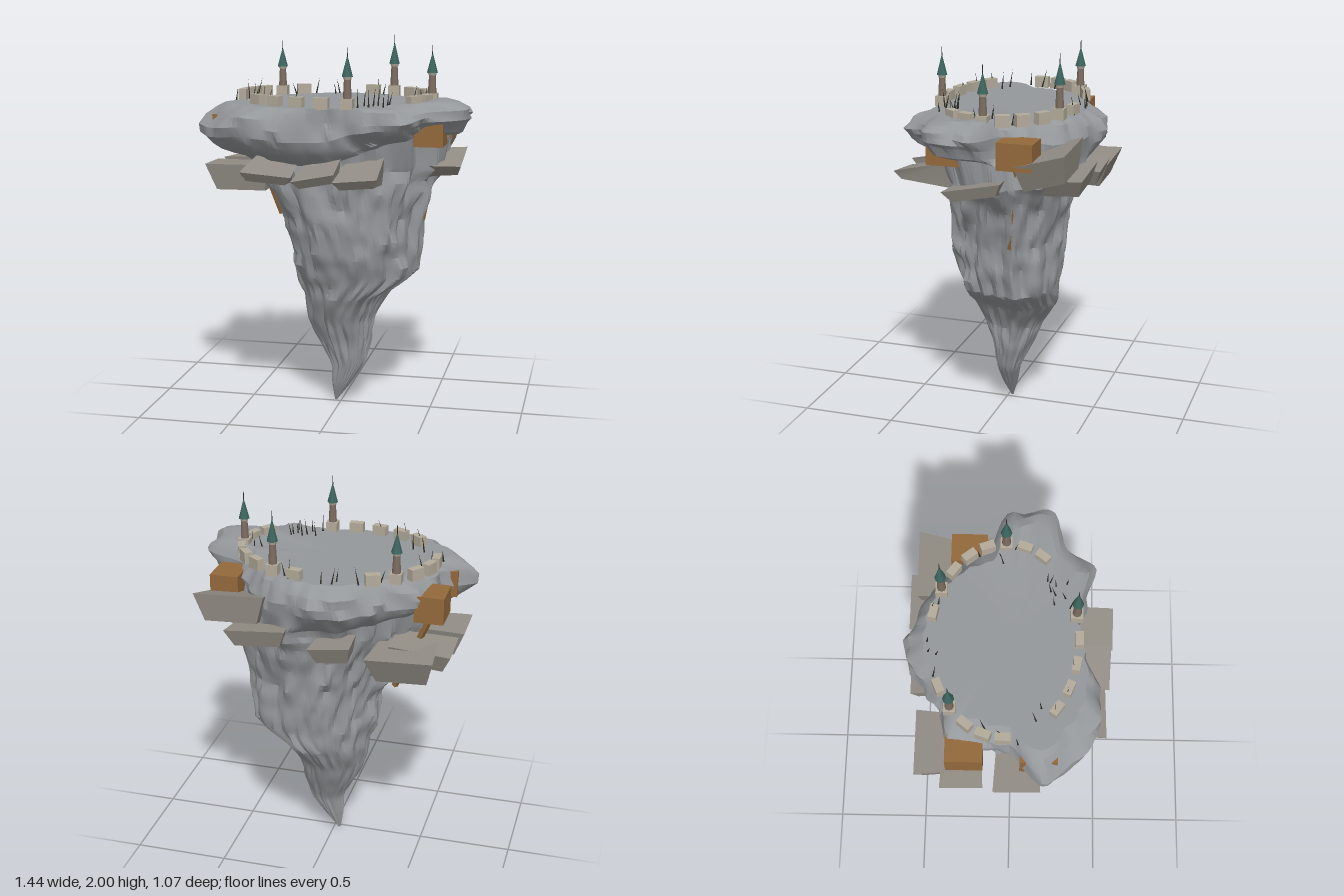
import * as THREE from 'three';
import { toCreasedNormals } from 'three/addons/utils/BufferGeometryUtils.js';

const mat = (color) => new THREE.MeshStandardMaterial({ color, roughness: 0.9 });
const { lerp, clamp } = THREE.MathUtils;

// Seeded lattice noise in -1..1, periodic along u
const hash = (i, j) => {
  const s = Math.sin(i * 127.1 + j * 311.7) * 43758.5453;
  return (s - Math.floor(s)) * 2 - 1;
};
function noise(u, v, period) {
  const i = Math.floor(u), j = Math.floor(v), f = u - i, g = v - j;
  const a = ((i % period) + period) % period, b = (a + 1) % period;
  return lerp(lerp(hash(a, j), hash(b, j), f), lerp(hash(a, j + 1), hash(b, j + 1), f), g);
}

// Plateau outline: radius every 15 degrees from +x towards +z
const OUTLINE = [0.69, 0.74, 0.56, 0.59, 0.44, 0.36, 0.36, 0.41, 0.53, 0.64, 0.69, 0.74,
  0.58, 0.57, 0.61, 0.5, 0.5, 0.53, 0.53, 0.49, 0.48, 0.49, 0.48, 0.49];
// Hanging trunk: y, centre x, centre z, radius x, radius z
const TRUNK = [[1.36, 0.04, -0.05, 0.52, 0.35], [1.2, 0.045, -0.035, 0.425, 0.325], [1.0, 0.07, -0.025, 0.37, 0.305],
  [0.85, 0.085, -0.04, 0.345, 0.28], [0.73, 0.085, -0.055, 0.325, 0.255], [0.62, 0.035, -0.055, 0.22, 0.235],
  [0.48, 0, -0.045, 0.17, 0.155], [0.36, 0.02, -0.045, 0.145, 0.11], [0.22, 0.04, -0.025, 0.09, 0.065],
  [0.1, 0, -0.02, 0.05, 0.04], [0, -0.03, -0.02, 0.006, 0.006]];
// Cap: y, blend from trunk to outline, scale
const CAP = [[1.67, 1, 0], [1.67, 1, 0.45], [1.67, 1, 0.83], [1.645, 1, 0.9], [1.605, 1, 0.96], [1.555, 1, 1],
  [1.505, 1, 0.99], [1.465, 0.92, 0.97], [1.43, 0.72, 0.97], [1.4, 0.4, 1], [1.38, 0.15, 1]];

function outlineRadius(a) {
  const t = a / (Math.PI * 2) * 24, i = Math.floor(t), f = t - i;
  return lerp(OUTLINE[i % 24], OUTLINE[(i + 1) % 24], f * f * (3 - 2 * f));
}

function trunkPoint(a, y) {
  let k = 0;
  while (k < TRUNK.length - 2 && y < TRUNK[k + 1][0]) k++;
  const p = TRUNK[k], q = TRUNK[k + 1];
  const f = clamp((p[0] - y) / (p[0] - q[0]), 0, 1);
  const [cx, cz, rx, rz] = [1, 2, 3, 4].map((n) => lerp(p[n], q[n], f));
  const u = a / (Math.PI * 2);
  // diagonal stretch, vertical flutes drifting with height, and broken ledges
  const r = 0.98 - 0.07 * Math.sin(2 * a) + 0.06 * noise(u * 14 + y * 0.8, y * 2.2, 14)
    + 0.08 * noise(u * 40 + y * 2, y * 5, 40) + 0.06 * noise(u * 72 + y * 3, y * 9, 72) + 0.05 * noise(u * 24, y * 15, 24);
  return [cx + rx * r * Math.cos(a), cz + rz * r * Math.sin(a)];
}

function rockGeometry() {
  const N = 144, rows = CAP.map((r) => [...r]);
  for (let i = 0; i <= 46; i++) rows.push([1.36 * (1 - i / 46), 0, 1]);
  const pos = [], index = [];
  rows.forEach(([y, mix, scale], i) => {
    for (let j = 0; j < N; j++) {
      const u = j / N, a = u * Math.PI * 2, R = outlineRadius(a);
      const [tx, tz] = trunkPoint(a, y);
      const rough = i > 1 && mix ? 0.035 * noise(u * 26, y * 11, 26) + 0.035 * noise(u * 60, y * 18, 60) : 0;
      // the rim is steep where the outline runs close in, sloped on the wide lobes
      const inset = i > 1 && i < 5 ? lerp(0.98, scale, clamp((R - 0.33) / 0.2, 0, 1)) : scale;
      const r = R * (inset + rough);
      // the overhang is thinner along the pointed side and at the back left
      const thick = 1 - 0.5 * Math.max(0, Math.cos(a - 0.4)) ** 2 - 0.25 * Math.max(0, Math.cos(a - 3.5)) ** 4;
      const lift = i > 1 && i < 8 ? 0.035 * Math.max(0, Math.cos(a - 0.15)) ** 10 : 0;
      const sag = i > 3 && mix ? 0.03 * noise(u * 16, 3.5, 16) : 0;
      const py = mix ? 1.67 - (1.67 - y) * thick + lift + sag : y;
      pos.push(lerp(tx, r * Math.cos(a), mix), py, lerp(tz, r * Math.sin(a), mix));
      if (i < rows.length - 1) {
        const p = i * N + j, q = i * N + (j + 1) % N;
        index.push(p, q, p + N, q, q + N, p + N);
      }
    }
  });
  const g = new THREE.BufferGeometry();
  g.setAttribute('position', new THREE.Float32BufferAttribute(pos, 3));
  g.setIndex(index);
  return toCreasedNormals(g, 0.4);
}

// Tapered slab: outer top edge at the origin, reaching back along -z; lip is the outer height
function slabGeometry(w, d, h, lip) {
  const g = new THREE.BoxGeometry(1, 1, 1), p = g.attributes.position;
  for (let i = 0; i < p.count; i++) {
    const top = p.getY(i) > 0, out = p.getZ(i) > 0;
    const half = w * (top ? (out ? 0.5 : 0.42) : (out ? 0.37 : 0.3));
    p.setXYZ(i, Math.sign(p.getX(i)) * half, top ? 0 : (out ? -lip : -h), out ? (top ? 0 : -0.4 * lip) : -d);
  }
  g.computeVertexNormals();
  return g;
}

export function createModel() {
  const model = new THREE.Group();
  const rockMat = mat(0x95989b), slabMat = mat(0x928d85), wallMat = mat(0xb3ab9b), woodMat = mat(0x94693c);
  const towerMat = mat(0x7d6e62), roofMat = mat(0x3d655f), twigMat = mat(0x2e2f26);
  const add = (parent, name, geo, material, x = 0, y = 0, z = 0) => {
    const m = new THREE.Mesh(geo, material);
    m.name = name;
    m.position.set(x, y, z);
    parent.add(m);
    return m;
  };

  add(model, 'floatingRock', rockGeometry(), rockMat);

  // Slabs: x, y, z of the outer top edge, width, depth, inner and outer height, facing, pitch, roll
  const F = 0, B = Math.PI, L = -Math.PI / 2, R = Math.PI / 2;
  [
    [-0.29, 1.34, 0.49, 0.27, 0.32, 0.13, 0.05, F, 0.18, -0.08],
    [-0.04, 1.335, 0.515, 0.23, 0.32, 0.13, 0.05, F, 0.2, 0.2],
    [0.18, 1.33, 0.53, 0.23, 0.32, 0.15, 0.05, F, 0.22, 0.1],
    [-0.71, 1.33, 0.04, 0.24, 0.32, 0.14, 0.14, L, 0, 0.03],
    [-0.69, 1.32, -0.24, 0.22, 0.32, 0.1, 0.1, L, 0.05, 0.08],
    [-0.45, 1.32, -0.48, 0.35, 0.3, 0.14, 0.14, B, 0, 0.05],
    [-0.1, 1.36, -0.51, 0.22, 0.3, 0.09, 0.09, B, 0, 0.12],
    [0.28, 1.42, -0.525, 0.32, 0.3, 0.09, 0.09, B, -0.1, 0.08],
    [0.425, 1.58, -0.48, 0.37, 0.28, 0.14, 0.14, B, -0.3, 0.04],
    [0.66, 1.39, -0.02, 0.31, 0.32, 0.08, 0.06, R, -0.04, 0.2],
  ].forEach(([x, y, z, w, d, h, lip, yaw, pitch, roll]) => {
    const s = add(model, 'rockSlab', slabGeometry(w, d, h, lip), slabMat, x, y, z);
    s.rotation.set(pitch, yaw, roll, 'YXZ');
  });

  // Overhanging timber huts; the rear pair is propped by slanted beams
  for (const side of [-1, 1]) {
    const x = side < 0 ? -0.565 : 0.505;
    for (const z of [-0.22, 0.145]) {
      add(model, 'timberHut', new THREE.BoxGeometry(0.15, 0.14, 0.185), woodMat, x, 1.54, z);
    }
    const from = new THREE.Vector3(x, 1.48, -0.205);
    const to = new THREE.Vector3(side < 0 ? -0.365 : 0.42, 1.02, -0.15);
    const dir = to.clone().sub(from);
    const beam = add(model, 'supportBeam', new THREE.BoxGeometry(0.025, dir.length(), 0.025), woodMat);
    beam.position.copy(from).add(to).multiplyScalar(0.5);
    beam.quaternion.setFromUnitVectors(new THREE.Vector3(0, 1, 0), dir.normalize());
  }

  // Ruined ring wall on an ellipse, with gaps and four towers
  const ring = (deg) => {
    const a = deg * Math.PI / 180;
    return [-0.03 + 0.513 * Math.cos(a), -0.03 + 0.368 * Math.sin(a), a];
  };
  for (const deg of [15, 30, 90, 105, 120, 135, 180, 195, 210, 240, 285, 315, 330, 345]) {
    const [x, z, a] = ring(deg);
    const w = add(model, 'wallBlock', new THREE.BoxGeometry(0.075, 0.06, 0.042), wallMat, x, 1.692, z);
    w.rotation.y = Math.atan2(-0.368 * Math.cos(a), -0.513 * Math.sin(a));
  }
  for (const [deg, h] of [[0, 0.98], [75, 1], [225, 0.96], [300, 1.08]]) {
    const [x, z] = ring(deg);
    const t = new THREE.Group();
    t.name = 'tower';
    t.position.set(x, 1.665, z);
    t.scale.y = h;
    model.add(t);
    add(t, 'towerBase', new THREE.BoxGeometry(0.06, 0.055, 0.06), wallMat, 0, 0.0275, 0);
    add(t, 'towerShaft', new THREE.CylinderGeometry(0.017, 0.023, 0.11, 8), towerMat, 0, 0.108, 0);
    add(t, 'towerCrown', new THREE.CylinderGeometry(0.024, 0.02, 0.018, 8), wallMat, 0, 0.16, 0);
    add(t, 'towerRoof', new THREE.ConeGeometry(0.029, 0.11, 8), roofMat, 0, 0.22, 0);
    add(t, 'towerSpire', new THREE.CylinderGeometry(0.0015, 0.003, 0.05, 5), twigMat, 0, 0.286, 0);
  }

  // Dead saplings: x, z pairs
  const spots = [-0.21, -0.37, -0.1, -0.4, -0.04, -0.41, -0.11, -0.36, 0.13, -0.39, 0.17, -0.36, 0.43, -0.17,
    0.39, -0.05, 0.42, -0.06, 0.46, 0.02, 0.28, 0.28, 0.27, 0.22, 0.24, 0.19, 0.3, 0.18, 0.22, 0.21, 0.17, 0.21,
    0.2, 0.26, 0.15, 0.3, 0.29, 0.2, -0.56, 0.04, -0.44, 0.12, -0.38, 0.15, -0.4, 0.22, -0.31, 0.28, -0.17, 0.31,
    -0.52, -0.05, -0.48, -0.13, -0.33, -0.31];
  for (let i = 0; i < spots.length; i += 2) {
    const h = 0.09 + 0.025 * hash(i, 5);
    const s = add(model, 'sapling', new THREE.ConeGeometry(0.005, h, 5), twigMat, spots[i], 1.665 + h / 2, spots[i + 1]);
    s.rotation.set(0.25 * hash(i, 1), 0, 0.3 * hash(i, 2));
  }
  return model;
}
